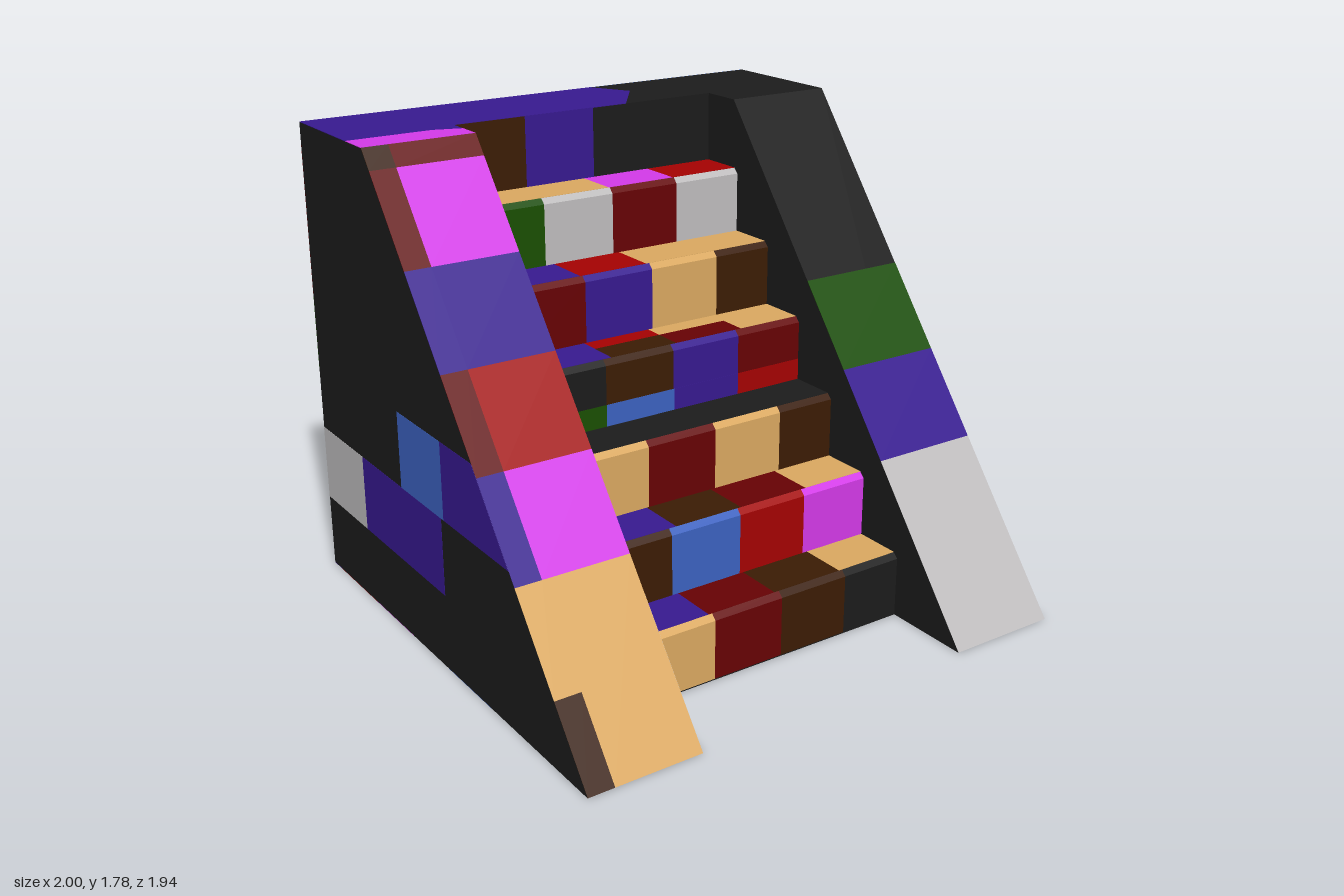
import * as THREE from 'three';

const HEX = {
  black: 0x1b1b1b, purple: 0x37198f, magenta: 0xd43ae9, red: 0xa40202, darkRed: 0x660204,
  brown: 0x3b1c04, tan: 0xdaa860, green: 0x1a4f02, grey: 0xbebcbd, blue: 0x3c62c0,
};
const H = 1.78, FRONT = 0.97, BACK = -0.97, CREST = -0.43; // wall silhouette
const IN_L = -0.565, IN_R = 0.56;                          // inner faces of the walls
const STEP_Z = 0.625, RUN = 0.205, RISE = 0.252, RECESS = -0.597, NOSE = 0.02;
const PLATE = 0.002;
const V = (x, y, z) => new THREE.Vector3(x, y, z);

// Each face frame: 2D axes a and b, plus the origin of the plane
function frame(a, b, origin) {
  const n = a.clone().cross(b).normalize();
  return new THREE.Matrix4().makeBasis(a, b, n).setPosition(origin.addScaledVector(n, -PLATE / 2));
}
const X = V(1, 0, 0), Y = V(0, 1, 0);
const slopeRun = (CREST - FRONT) / H;
const slopeZ = (y) => FRONT + slopeRun * y;
const slope = frame(X, V(0, 1, slopeRun), V(0, 0, FRONT));           // (x, y)
const rightFace = frame(V(0, 0, -1), Y, V(1, 0, 0));                 // (-z, y)
const leftFace = frame(V(0, 0, 1), Y, V(-1, 0, 0));                  // (z, y)
const innerFace = frame(V(0, 0, -1), Y, V(IN_L, 0, 0));              // (-z, y)
const backFace = frame(V(-1, 0, 0), Y, V(0, 0, BACK));               // (-x, y)
const underside = frame(X, V(0, 0, 1), V(0, 0, 0));                  // (x, z)
const level = (y) => frame(X, V(0, 0, -1), V(0, y, 0));              // (x, -z)
const upright = (z) => frame(X, Y, V(0, 0, z));                      // (x, y)

export function createModel() {
  const model = new THREE.Group();
  model.name = 'staircase';
  const mats = {};
  for (const key in HEX) {
    mats[key] = new THREE.MeshStandardMaterial({ color: HEX[key] });
    mats[key].name = key;
  }

  function extrude(name, color, matrix, pts, depth) {
    const shape = new THREE.Shape(pts.map(([a, b]) => new THREE.Vector2(a, b)));
    const geo = new THREE.ExtrudeGeometry(shape, { depth, bevelEnabled: false });
    const mesh = new THREE.Mesh(geo.applyMatrix4(matrix), mats[color]);
    mesh.name = name;
    model.add(mesh);
  }
  const plate = (name, color, face, pts) => extrude(name, color, face, pts, PLATE);
  const rect = (name, color, face, a0, a1, b0, b1) =>
    plate(name, color, face, [[a0, b0], [a1, b0], [a1, b1], [a0, b1]]);
  // Side profile given as (z, y), swept from x0 to x1
  const sweep = (name, color, pts, x0, x1) => extrude(name, color,
    new THREE.Matrix4().makeBasis(V(0, 0, -1), Y, X).setPosition(x0, 0, 0),
    pts.map(([z, y]) => [-z, y]), x1 - x0);
  // Runs of [colour, right end], starting at the inner face of one wall
  const runs = (list, build) => {
    let x0 = IN_L;
    for (const [color, x1] of list) { build(color, x0, x1); x0 = x1; }
  };

  // Walls, back block and base
  const wall = [[FRONT, 0], [BACK, 0], [BACK, H], [CREST, H]];
  sweep('rightWall', 'black', wall, -1, IN_L);
  sweep('leftWall', 'black', wall, IN_R, 1);
  sweep('backBlock', 'black', [[RECESS, 0], [BACK, 0], [BACK, H], [RECESS, H]], IN_L, IN_R);
  sweep('base', 'black', [[STEP_Z, 0], [RECESS, 0], [RECESS, 0.004], [STEP_Z, 0.004]], IN_L, IN_R);

  // Steps with a bevelled front edge, coloured in blocks
  const risers = [
    [['tan', -0.27], ['darkRed', 0.02], ['brown', 0.31], ['black', IN_R]],
    [['brown', -0.31], ['blue', -0.015], ['red', 0.275], ['magenta', IN_R]],
    [['tan', -0.27], ['darkRed', 0.02], ['tan', 0.315], ['brown', IN_R]],
    [['black', -0.315], ['brown', -0.025], ['purple', 0.27], ['darkRed', IN_R]],
    [['darkRed', -0.27], ['purple', 0.02], ['tan', 0.315], ['brown', IN_R]],
    [['green', -0.315], ['grey', -0.02], ['darkRed', 0.27], ['grey', IN_R]],
  ];
  const treads = [
    [['purple', -0.285], ['darkRed', 0], ['brown', 0.295], ['tan', IN_R]],
    [['purple', -0.28], ['brown', 0], ['darkRed', 0.295], ['tan', IN_R]],
    [['green', -0.54], ['black', IN_R]],
    [['purple', -0.28], ['brown', 0], ['darkRed', 0.295], ['tan', IN_R]],
    [['purple', -0.28], ['red', 0.005], ['tan', IN_R]],
    [['tan', -0.025], ['magenta', 0.265], ['red', IN_R]],
  ];
  risers.forEach((row, i) => {
    const z = STEP_Z - i * RUN, y0 = i * RISE + (i ? 0 : 0.004), y1 = (i + 1) * RISE;
    const profile = [[z, y0], [RECESS, y0], [RECESS, y1], [z - NOSE, y1], [z, y1 - 0.02]];
    runs(row, (c, x0, x1) => sweep('step', c, profile, x0, x1));
    runs(treads[i], (c, x0, x1) => {
      const near = NOSE - z, far = RUN - z;
      if (i === 3 && (c === 'brown' || c === 'darkRed')) {
        rect('tread', c, level(y1), x0, x1, near, 0.12);
        rect('tread', c === 'brown' ? 'red' : 'tan', level(y1), x0, x1, 0.12, far);
      } else rect('tread', c, level(y1), x0, x1, near, far);
    });
  });
  runs([['green', -0.315], ['blue', -0.02], ['purple', 0.27], ['red', IN_R]], (c, x0, x1) =>
    rect('riserBand', c, upright(STEP_Z - 3 * RUN), x0, x1, 3 * RISE, 0.84));
  runs([['brown', -0.275], ['purple', 0.02]], (c, x0, x1) =>
    rect('recessPanel', c, upright(RECESS), x0, x1, 6 * RISE, H));

  // Sloping wall fronts: [colour, lower y, upper y]
  const ramp = (x0, x1, list) => list.forEach(([c, y0, y1]) => rect('rampPanel', c, slope, x0, x1, y0, y1));
  ramp(-0.9, IN_L, [['tan', 0, 0.54], ['magenta', 0.54, 0.835], ['red', 0.835, 1.12],
    ['purple', 1.12, 1.415], ['magenta', 1.415, 1.71], ['darkRed', 1.71, H]]);
  ramp(-1, -0.9, [['brown', 0, 0.245], ['tan', 0.245, 0.54], ['purple', 0.54, 0.835],
    ['darkRed', 0.835, 1.12], ['purple', 1.12, 1.415], ['darkRed', 1.415, 1.71], ['brown', 1.71, H]]);
  ramp(IN_R, 1, [['grey', 0, 0.585], ['purple', 0.585, 0.875], ['green', 0.875, 1.165]]);

  // Top deck
  plate('deckPanel', 'purple', level(H), [[-1, 0.56], [-0.67, 0.56], [IN_L, 0.525], [IN_L, -RECESS],
    [0.17, -RECESS], [0.325, 0.81], [0.235, -BACK], [-1, -BACK]]);
  plate('deckEdge', 'magenta', level(H), [[-1, 0.43], [IN_L, 0.43], [IN_L, 0.525], [-0.67, 0.56], [-1, 0.56]]);

  // Outer wall sides
  plate('sidePanel', 'grey', rightFace, [[0.255, 1.2], [-BACK, 1.2], [-BACK, 1.49], [0.235, 1.49]]);
  plate('sidePanel', 'magenta', rightFace, [[0.6, 0.905], [-BACK, 0.905], [-BACK, 1.2], [0.58, 1.2]]);
  rect('sidePanel', 'grey', leftFace, BACK, -0.61, 0.29, 0.585);
  rect('sidePanel', 'purple', leftFace, -0.61, 0.035, 0.29, 0.585);
  rect('sidePanel', 'blue', leftFace, -0.275, 0.055, 0.585, 0.875);
  plate('sidePanel', 'purple', leftFace,
    [[0.055, 0.585], [slopeZ(0.585), 0.585], [slopeZ(0.875), 0.875], [0.055, 0.875]]);
  plate('innerPanel', 'grey', innerFace,
    [[-FRONT, 0], [-STEP_Z, 0], [-STEP_Z, 0.43], [-slopeZ(0.43), 0.43]]);

  // Back wall: [colour, x from, x to, y from, y to]
  [['blue', 1, -0.65, 1.7, H], ['purple', 1, -0.65, 1.405, 1.7], ['darkRed', -0.65, -1, 1.12, 1.7],
    ['brown', 1, 0.575, 1.12, 1.405], ['darkRed', 0.575, 0.18, 1.12, 1.405],
    ['red', 0.18, -0.245, 1.12, 1.405], ['brown', -0.245, -0.65, 1.12, 1.405],
    ['green', 1, -1, 0.83, 1.12], ['tan', 1, 0.17, 0.545, 0.83], ['purple', -0.235, -0.65, 0.545, 0.83],
  ].forEach(([c, x0, x1, y0, y1]) => rect('backPanel', c, backFace, -x0, -x1, y0, y1));

  // Underside: checker rows, then larger patches [colour, x0, x1, z0, z1]
  for (let i = 0; i < 6; i++) {
    const x1 = 1 - i / 3, x0 = x1 - 1 / 3;
    rect('underPanel', i % 2 ? 'red' : 'darkRed', underside, x0, x1, -0.9, -0.57);
    if (i < 3) rect('underPanel', i % 2 ? 'darkRed' : 'red', underside, x0, x1, -0.57, -0.25);
  }
  [['blue', 0.6, 1, BACK, -0.9], ['purple', -1, 0.6, BACK, -0.9], ['green', 0.5, 1, -0.25, 0.08],
    ['purple', -0.67, 0, -0.57, -0.03], ['magenta', -1, -0.67, -0.57, -0.25],
    ['blue', -0.25, 0.89, 0.08, 0.34], ['blue', -1, -0.61, 0.03, 0.36],
  ].forEach(([c, x0, x1, z0, z1]) => rect('underPanel', c, underside, x0, x1, z0, z1));

  model.children.forEach((m) => { m.position.y = PLATE / 2; });
  return model;
}
